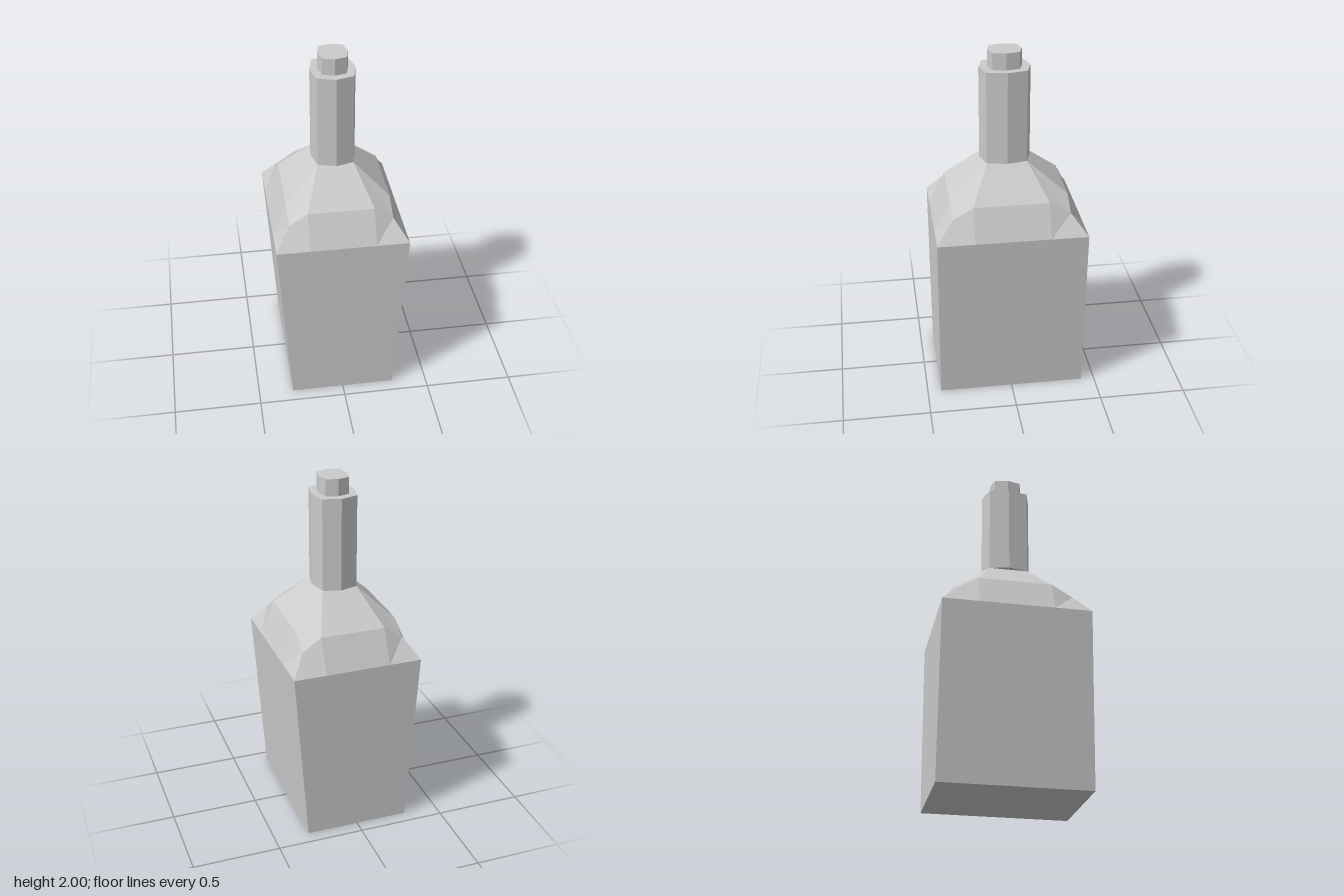
import * as THREE from 'three';

const material = new THREE.MeshStandardMaterial({ color: 0xcccccc, flatShading: true });

function part(name, geometry) {
  const mesh = new THREE.Mesh(geometry, material);
  mesh.name = name;
  return mesh;
}

// Upright eight-sided prism: half width, half depth, bottom and top heights
function octagonPrism(w, d, y0, y1) {
  const corners = [[1, 0], [0.8, 0.79], [0, 1], [-0.8, 0.79], [-1, 0], [-0.8, -0.79], [0, -1], [0.8, -0.79]];
  const shape = new THREE.Shape(corners.map(([x, z]) => new THREE.Vector2(x * w, z * d)));
  const geometry = new THREE.ExtrudeGeometry(shape, { depth: y1 - y0, bevelEnabled: false });
  return geometry.rotateX(-Math.PI / 2).translate(0, y0, 0);
}

// Rectangular ring of twelve points: each corner with a neighbour on either side
function ring(x, z, midX, midZ, midY, cornerY) {
  const points = [];
  for (const [sx, sz] of [[1, 1], [1, -1], [-1, -1], [-1, 1]]) {
    const trio = [[midX, midY, z], [x, cornerY, z], [x, midY, midZ]];
    if (sx * sz < 0) trio.reverse();
    for (const p of trio) points.push(new THREE.Vector3(p[0] * sx, p[1], p[2] * sz));
  }
  return points;
}

// Faceted shoulder lofted through the rings, with its corners cut low
function shoulderGeometry() {
  const rings = [
    ring(0.37, 0.422, 0.185, 0.212, 1.015, 1.015),
    ring(0.29, 0.33, 0.185, 0.212, 1.2, 1.13),
    ring(0.1, 0.113, 0.1, 0.113, 1.375, 1.375),
  ];
  const triangles = [];
  const add = (p, q, r) => {
    if (new THREE.Triangle(p, q, r).getArea() > 1e-6) triangles.push(p, q, r);
  };
  for (let k = 0; k < rings.length - 1; k++) {
    for (let i = 0; i < 12; i++) {
      const j = (i + 1) % 12;
      const a = rings[k][i], b = rings[k][j], c = rings[k + 1][j], d = rings[k + 1][i];
      if (i % 3 === 1) {
        add(a, b, d);
        add(b, c, d);
      } else {
        add(a, b, c);
        add(a, c, d);
      }
    }
  }
  const geometry = new THREE.BufferGeometry().setFromPoints(triangles);
  geometry.computeVertexNormals();
  return geometry;
}

// Box narrowing in width toward the base
function bodyGeometry() {
  const height = 1.015;
  const geometry = new THREE.BoxGeometry(0.74, height, 0.844).translate(0, height / 2, 0);
  const pos = geometry.attributes.position;
  for (let i = 0; i < pos.count; i++) {
    if (pos.getY(i) < 0.01) pos.setX(i, Math.sign(pos.getX(i)) * 0.3);
  }
  geometry.computeVertexNormals();
  return geometry;
}

export function createModel() {
  const bottle = new THREE.Group();
  bottle.name = 'bottle';
  bottle.add(
    part('body', bodyGeometry()),
    part('shoulder', shoulderGeometry()),
    part('neck', octagonPrism(0.125, 0.143, 1.375, 1.905)),
    part('stopper', octagonPrism(0.083, 0.095, 1.905, 2)),
  );
  return bottle;
}
